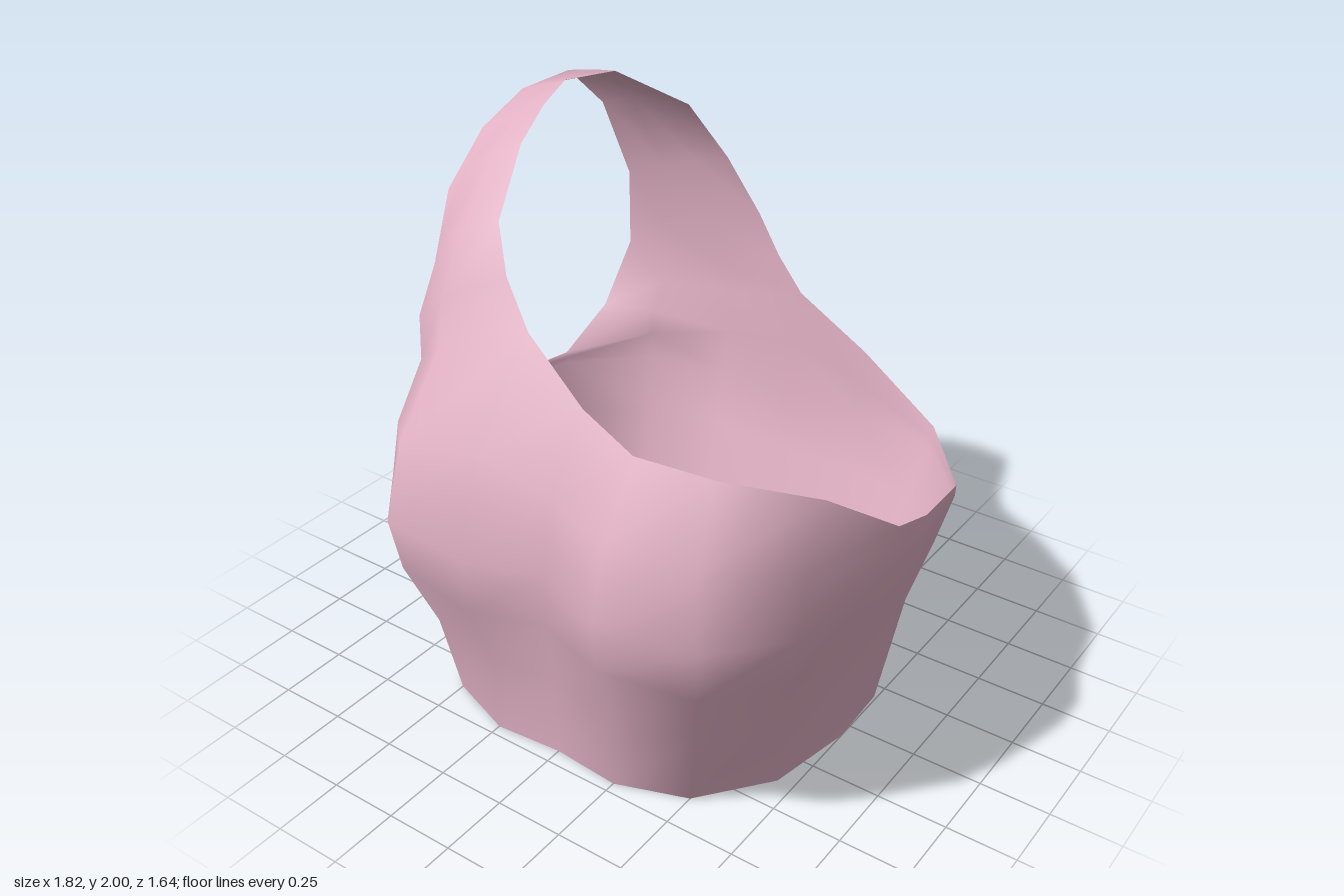
import * as THREE from 'three';
import { mergeVertices } from 'three/addons/utils/BufferGeometryUtils.js';

// Half cross-sections of the torso as [x, z], from centre front round to centre back
const rings = [
  [0, [[0, .69], [.25, .71], [.5, .62], [.69, .38], [.75, .06], [.74, -.19], [.65, -.36], [.47, -.455], [.24, -.48], [0, -.48]]],
  [.3, [[0, .69], [.26, .72], [.55, .66], [.73, .42], [.79, .06], [.77, -.2], [.73, -.4], [.54, -.54], [.26, -.58], [0, -.57]]],
  [.55, [[0, .72], [.27, .81], [.61, .75], [.8, .5], [.85, .06], [.84, -.2], [.8, -.44], [.58, -.64], [.28, -.69], [0, -.68]]],
  [.75, [[0, .72], [.27, .82], [.63, .78], [.835, .54], [.89, .06], [.88, -.19], [.85, -.465], [.62, -.7], [.3, -.755], [0, -.735]]],
];

// Neckline on the strapless side, centre front round to centre back
const neckline = [
  [0, 1.26, .5], [.26, 1.22, .585], [.55, 1.22, .555], [.8, 1.14, .35], [.905, .93, .06],
  [.88, .83, -.19], [.85, .79, -.47], [.63, .83, -.72], [.3, 1, -.79],
];

// Strap sections, front to back: armhole edge, neckline edge, bulge between them
const strapSections = [
  [[-.91, .93, .06], [-.27, 1.42, .43], [-.12, .04, .19]],
  [[-.88, 1.16, .22], [-.43, 1.54, .34], [-.06, .03, .13]],
  [[-.87, 1.44, .21], [-.54, 1.67, .24], [-.02, .03, .05]],
  [[-.87, 1.67, .12], [-.61, 1.86, .03], [-.01, .02, .02]],
  [[-.86, 1.84, -.06], [-.63, 1.95, -.12], [0, .01, 0]],
  [[-.86, 1.92, -.28], [-.64, 2, -.25], [0, 0, 0]],
  [[-.86, 1.92, -.54], [-.6, 1.98, -.48], [0, 0, -.01]],
  [[-.83, 1.76, -.7], [-.45, 1.82, -.72], [-.02, .01, -.03]],
  [[-.77, 1.47, -.78], [-.33, 1.62, -.8], [0, 0, -.02]],
  [[-.77, 1.18, -.78], [-.2, 1.42, -.825], [0, 0, -.01]],
  [[-.81, .94, -.66], [-.1, 1.28, -.81], [-.02, 0, -.06]],
  [[-.86, .79, -.47], [.02, 1.17, -.78], [-.04, .03, -.14]],
];

const lerp = (a, b, t) => a.map((v, i) => v + (b[i] - v) * t);
const add = (a, b) => a.map((v, i) => v + b[i]);

// Triangles between successive rows of points
function loft(rows, closed, out) {
  for (let r = 0; r < rows.length - 1; r++) {
    const n = rows[r].length;
    for (let i = 0; i < (closed ? n : n - 1); i++) {
      const j = (i + 1) % n;
      const a = rows[r][i], b = rows[r][j], c = rows[r + 1][j], d = rows[r + 1][i];
      out.push(...a, ...b, ...c, ...a, ...c, ...d);
    }
  }
}

export function createModel() {
  const positions = [];

  // Strap rows, four points across
  const strap = strapSections.map(([arm, neck, bulge]) => [
    arm,
    add(lerp(arm, neck, 1 / 3), bulge),
    add(lerp(arm, neck, 2 / 3), bulge),
    neck,
  ]);

  // Torso rows, mirrored to full loops
  const torso = rings.map(([y, half]) => [
    ...half.map(([x, z]) => [x, y, z]),
    ...half.slice(1, -1).reverse().map(([x, z]) => [-x, y, z]),
  ]);

  // Upper rim: neckline, back strap base, underarm, front strap base
  const rim = [
    ...neckline,
    ...[...strap[strap.length - 1]].reverse(),
    [-.9, .8, -.2],
    ...strap[0],
  ];

  // Chest row between the last ring and the rim, rounded out at the front
  const base = torso[torso.length - 1];
  const chest = rim.map((p, i) => {
    const bulge = base[i][2] > .3 ? .12 * (p[1] - base[i][1]) : 0;
    return add(lerp(base[i], p, .5), [0, 0, bulge]);
  });

  loft([...torso, chest, rim], true, positions);
  loft(strap, false, positions);

  // One welded cloth surface, so shading runs smoothly into the strap
  let geometry = new THREE.BufferGeometry();
  geometry.setAttribute('position', new THREE.Float32BufferAttribute(positions, 3));
  geometry = mergeVertices(geometry, 1e-4);
  geometry.computeVertexNormals();

  const top = new THREE.Mesh(geometry, new THREE.MeshStandardMaterial({ color: 0xe0b0c2, side: THREE.DoubleSide }));
  top.name = 'oneShoulderTop';

  const group = new THREE.Group();
  group.name = 'garment';
  group.add(top);
  return group;
}
